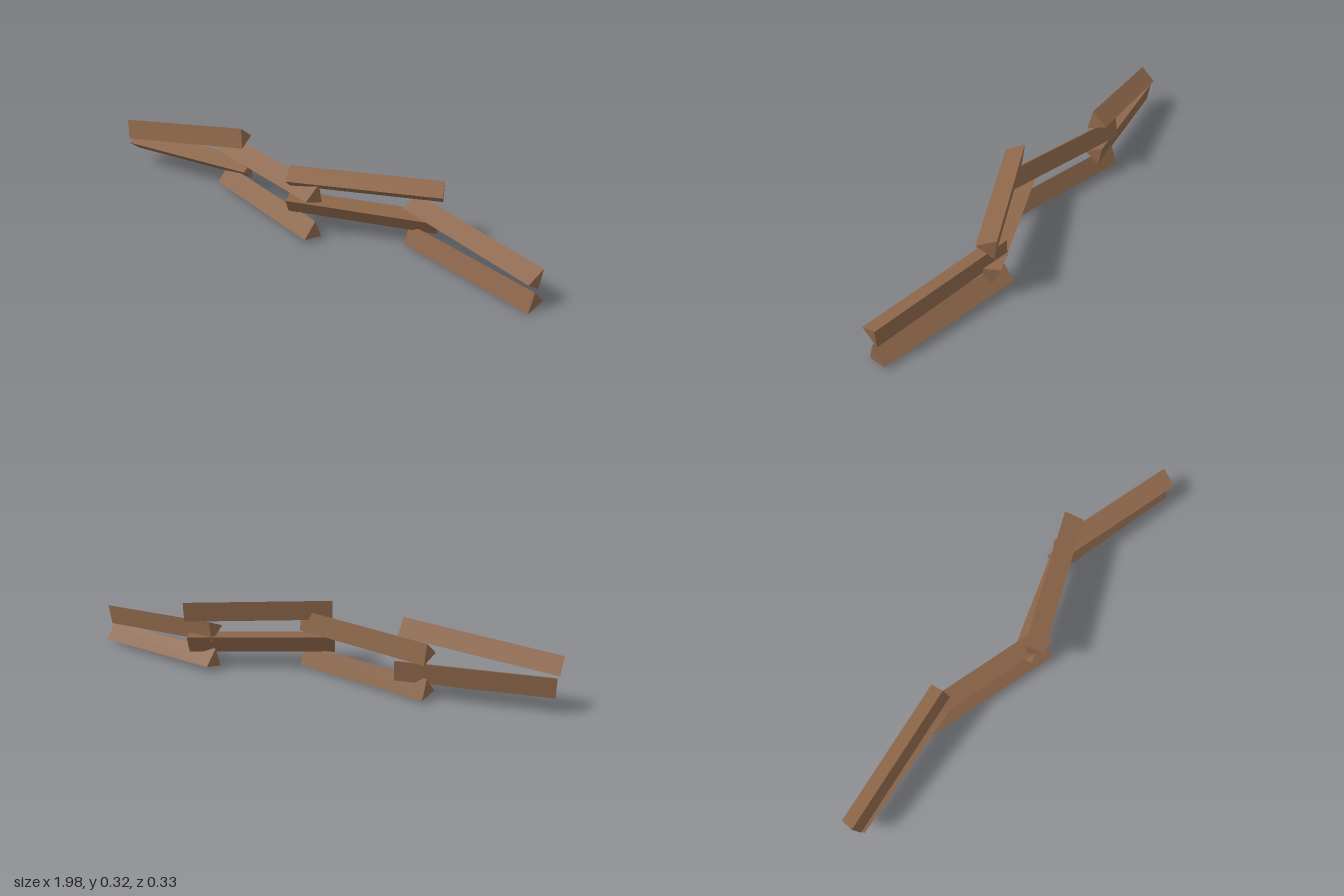
import * as THREE from 'three';

const RADIUS = 0.0495;

// Each rail: name, centre of its -x end, centre of its +x end, roll in degrees
// (roll turns the first corner of the triangle from up towards the front).
const RAILS = [
  ['firstUpperRail', [-0.988, 0.181, 0.05], [-0.39, 0.273, -0.033], 18],
  ['firstLowerRail', [-0.978, 0.119, 0.041], [-0.378, 0.119, -0.044], 80],
  ['secondUpperRail', [-0.512, 0.198, -0.05], [0.075, 0.205, 0.097], 100],
  ['secondLowerRail', [-0.512, 0.048, -0.045], [0.073, 0.043, 0.107], 110],
  ['thirdUpperRail', [-0.038, 0.265, 0.123], [0.512, 0.257, -0.133], 82],
  ['thirdLowerRail', [-0.064, 0.137, 0.0915], [0.5, 0.124, -0.126], 63],
  ['fourthUpperRail', [0.39, 0.179, -0.104], [0.98, 0.133, 0.021], 84],
  ['fourthLowerRail', [0.39, 0.046, -0.112], [0.982, 0.037, 0.013], 12.5],
];

// Three-sided split log running between two points
function makeRail(name, from, to, roll, material) {
  const a = new THREE.Vector3(...from);
  const b = new THREE.Vector3(...to);
  const along = b.clone().sub(a);
  const length = along.length();
  along.normalize();
  const side = along.clone().cross(new THREE.Vector3(0, 1, 0)).normalize();
  const up = side.clone().cross(along);

  const geometry = new THREE.CylinderGeometry(
    RADIUS, RADIUS, length, 3, 1, false, THREE.MathUtils.degToRad(roll));
  const rail = new THREE.Mesh(geometry, material);
  rail.name = name;
  rail.quaternion.setFromRotationMatrix(new THREE.Matrix4().makeBasis(side, along, up));
  rail.position.copy(a).add(b).multiplyScalar(0.5);
  return rail;
}

export function createModel() {
  const group = new THREE.Group();
  group.name = 'splitRailFence';
  const wood = new THREE.MeshStandardMaterial({ color: 0x8b6549, flatShading: true });
  wood.name = 'brown wood';

  // Zigzag of four pairs of rails stacked at the crossings
  for (const [name, from, to, roll] of RAILS) {
    group.add(makeRail(name, from, to, roll, wood));
  }
  return group;
}
